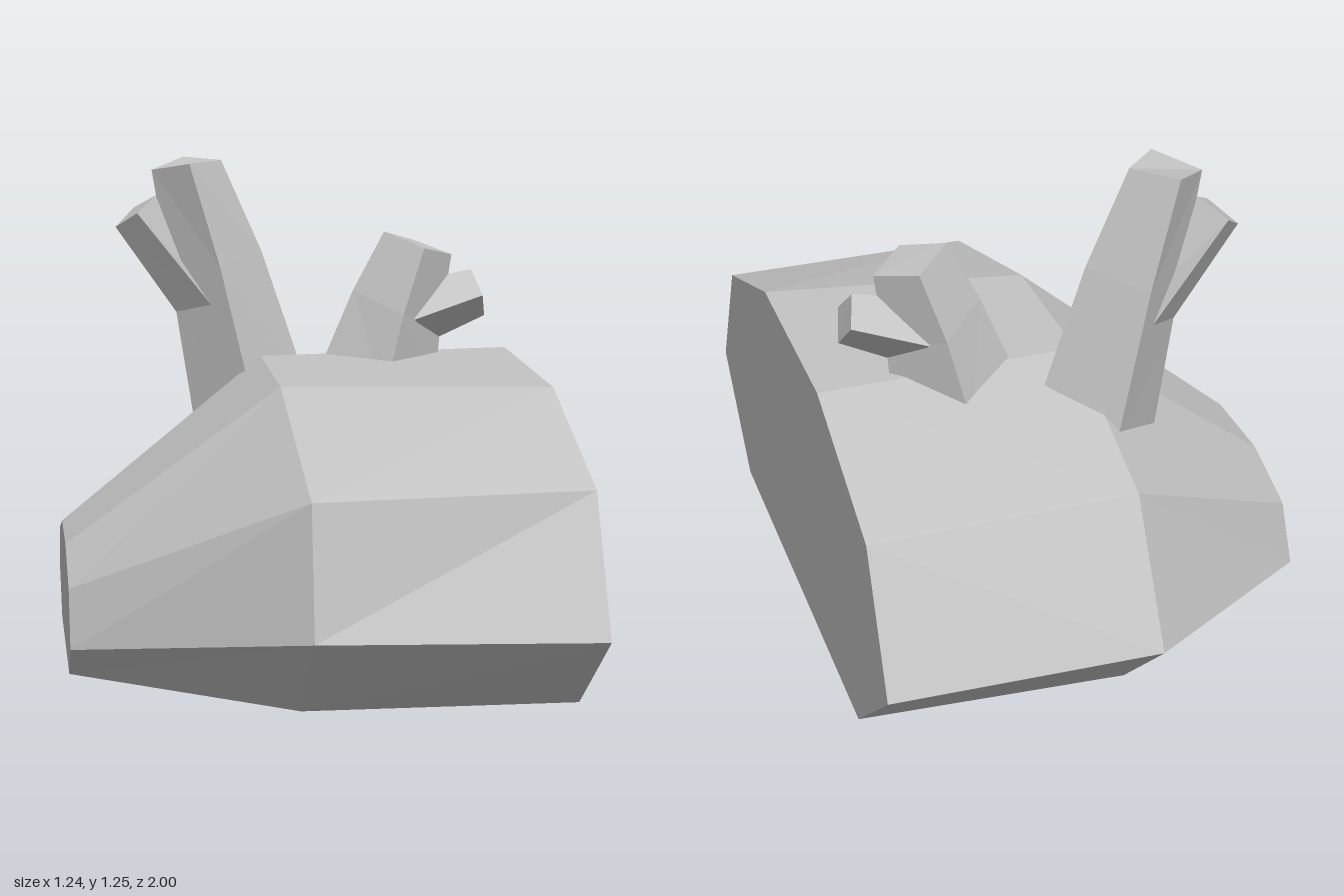
import * as THREE from 'three';

const stone = new THREE.MeshStandardMaterial({ color: 0xc4c4c4 });
stone.name = 'stone grey';

// Closed faceted solid through rings of equal point count, first ring to last
function loft(name, rings) {
  const n = rings[0].length, pos = [];
  const tri = (...points) => points.forEach((p) => pos.push(...p));
  for (let k = 0; k + 1 < rings.length; k++) {
    const a = rings[k], b = rings[k + 1];
    for (let j = 0; j < n; j++) {
      const m = (j + 1) % n;
      if (j < n / 2) {
        tri(a[j], a[m], b[j]);
        tri(a[m], b[m], b[j]);
      } else {
        tri(a[j], a[m], b[m]);
        tri(a[j], b[m], b[j]);
      }
    }
  }
  const first = rings[0], last = rings[rings.length - 1];
  for (let j = 1; j + 1 < n; j++) {
    tri(first[0], first[j + 1], first[j]);
    tri(last[0], last[j], last[j + 1]);
  }
  const geometry = new THREE.BufferGeometry();
  geometry.setAttribute('position', new THREE.Float32BufferAttribute(pos, 3));
  geometry.computeVertexNormals();
  const mesh = new THREE.Mesh(geometry, stone);
  mesh.name = name;
  return mesh;
}

// Rock cross-section: heights and half depths of base, belly, shoulder and top
function rockRing(x, heights, front, back) {
  const ring = front.map((z, i) => [x, heights[i], z]);
  for (let i = 3; i >= 0; i--) ring.push([x, heights[i], -back[i]]);
  return ring;
}

// Diamond ring: first edge, paired front/back edges, opposite edge
const diamond = (zc, [ax, ay], [sx, sy, half], [bx, by]) => [
  [ax, ay, zc], [sx, sy, zc + half], [bx, by, zc], [sx, sy, zc - half],
];

export function createModel() {
  const model = new THREE.Group();
  model.name = 'rockWithStems';

  const tall = [0, 0.24, 0.565, 0.725];
  model.add(loft('rock', [
    rockRing(0.62, tall, [0.68, 1, 0.82, 0.32], [0.68, 1, 0.82, 0.32]),
    rockRing(-0.07, tall, [0.675, 0.94, 0.88, 0.235], [0.675, 0.97, 0.76, 0.25]),
    rockRing(-0.62, [0, 0.1, 0.24, 0.305], [0.285, 0.415, 0.35, 0.13], [0.285, 0.42, 0.35, 0.14]),
  ]));

  // Tall stem with its side branch
  const z1 = -0.37;
  model.add(loft('tallStem', [
    diamond(z1, [-0.245, 0.54], [-0.09, 0.58, 0.16], [0.08, 0.6]),
    diamond(z1, [-0.29, 0.83], [-0.18, 0.97, 0.135], [-0.055, 1.0]),
    diamond(z1, [-0.355, 1.225], [-0.26, 1.25, 0.11], [-0.165, 1.25]),
  ]));
  model.add(loft('tallStemBranch', [
    diamond(z1, [-0.285, 0.825], [-0.195, 0.855, 0.095], [-0.17, 0.86]),
    diamond(z1, [-0.455, 1.07], [-0.4, 1.115, 0.075], [-0.345, 1.155]),
  ]));

  // Short stem with its side branch
  const z2 = -0.26;
  model.add(loft('shortStem', [
    diamond(z2, [0.07, 0.63], [0.25, 0.63, 0.155], [0.415, 0.63]),
    diamond(z2, [0.185, 0.9], [0.305, 0.85, 0.13], [0.428, 0.8]),
    diamond(z2, [0.27, 1.06], [0.365, 1.025, 0.1], [0.457, 0.995]),
  ]));
  model.add(loft('shortStemBranch', [
    diamond(z2, [0.36, 0.925], [0.34, 0.83, 0.095], [0.415, 0.763]),
    diamond(z2, [0.512, 0.953], [0.532, 0.89, 0.07], [0.55, 0.825]),
  ]));

  return model;
}
